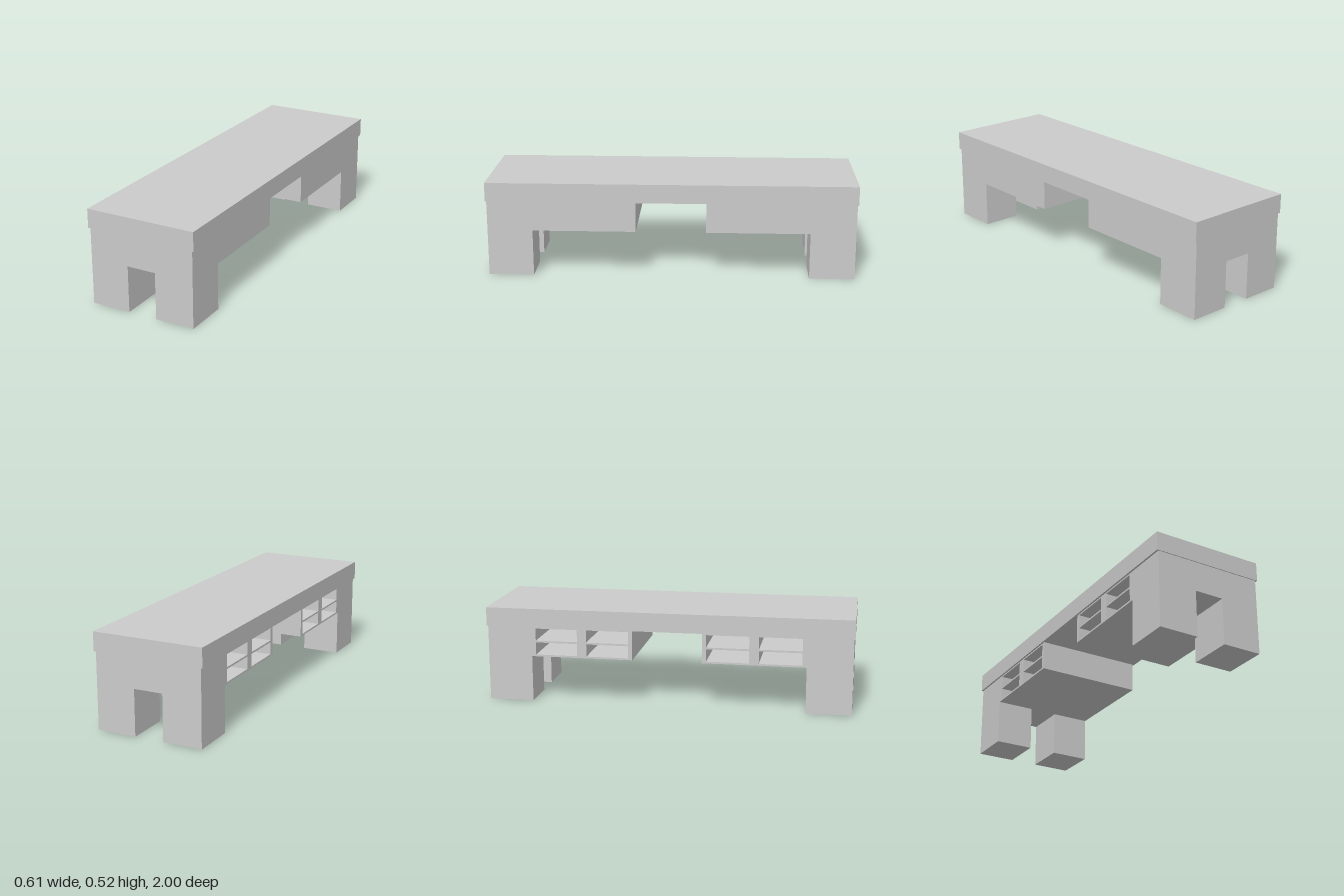
import * as THREE from 'three';

const material = new THREE.MeshStandardMaterial({ color: 0xcccccc, flatShading: true });

const HALF_W = 0.296;   // body half width
const END_Z = 0.995;    // outer face of the end supports
const LEG_Z = 0.75;     // inner face of the end supports
const KNEE_Z = 0.19;    // edge of the open middle
const LOW = 0.253;      // underside of the cabinets
const TOP = 0.417;      // underside of the slab
const BACK = 0.02;      // cabinet back panel thickness

function part(name, geometry, parent) {
  const mesh = new THREE.Mesh(geometry, material);
  mesh.name = name;
  parent.add(mesh);
  return mesh;
}

function rectHole(x0, y0, x1, y1) {
  return new THREE.Path().moveTo(x0, y0).lineTo(x0, y1).lineTo(x1, y1).lineTo(x1, y0).closePath();
}

// End support: two square legs joined above a rectangular opening
function endSupportGeometry() {
  const gap = 0.08;
  const shape = new THREE.Shape([
    [-HALF_W, 0], [-gap, 0], [-gap, LOW], [gap, LOW], [gap, 0],
    [HALF_W, 0], [HALF_W, TOP], [-HALF_W, TOP],
  ].map(([x, y]) => new THREE.Vector2(x, y)));
  const depth = END_Z - LEG_Z;
  return new THREE.ExtrudeGeometry(shape, { depth, bevelEnabled: false }).translate(0, 0, -depth / 2);
}

// Shelf frame: two by two cubbies, open towards -x
function shelfFrameGeometry() {
  const half = (LEG_Z - KNEE_Z) / 2;
  const shape = new THREE.Shape()
    .moveTo(-half, LOW).lineTo(half, LOW).lineTo(half, TOP).lineTo(-half, TOP).closePath();
  for (const [y0, y1] of [[LOW + 0.01, 0.331], [0.341, TOP - 0.008]]) {
    shape.holes.push(rectHole(-half + 0.023, y0, -0.026, y1));
    shape.holes.push(rectHole(0.026, y0, half - 0.023, y1));
  }
  return new THREE.ExtrudeGeometry(shape, { depth: 2 * HALF_W - BACK, bevelEnabled: false })
    .rotateY(-Math.PI / 2)
    .translate(HALF_W - BACK, 0, 0);
}

export function createModel() {
  const model = new THREE.Group();
  model.name = 'desk';

  // Thick slab overhanging the body slightly
  part('tableTop', new THREE.BoxGeometry(0.612, 0.52 - TOP, 2), model).position.y = (0.52 + TOP) / 2;

  const support = endSupportGeometry();
  const frame = shelfFrameGeometry();
  const backPanel = new THREE.BoxGeometry(BACK, TOP - LOW, LEG_Z - KNEE_Z);

  for (const [side, s] of [['front', 1], ['back', -1]]) {
    part(side + 'EndSupport', support, model).position.z = s * (END_Z + LEG_Z) / 2;

    // Hanging cabinet between the end support and the open middle
    const cabinet = new THREE.Group();
    cabinet.name = side + 'Cabinet';
    cabinet.position.z = s * (LEG_Z + KNEE_Z) / 2;
    part('shelfFrame', frame, cabinet);
    part('backPanel', backPanel, cabinet).position.set(HALF_W - BACK / 2, (TOP + LOW) / 2, 0);
    model.add(cabinet);
  }
  return model;
}
